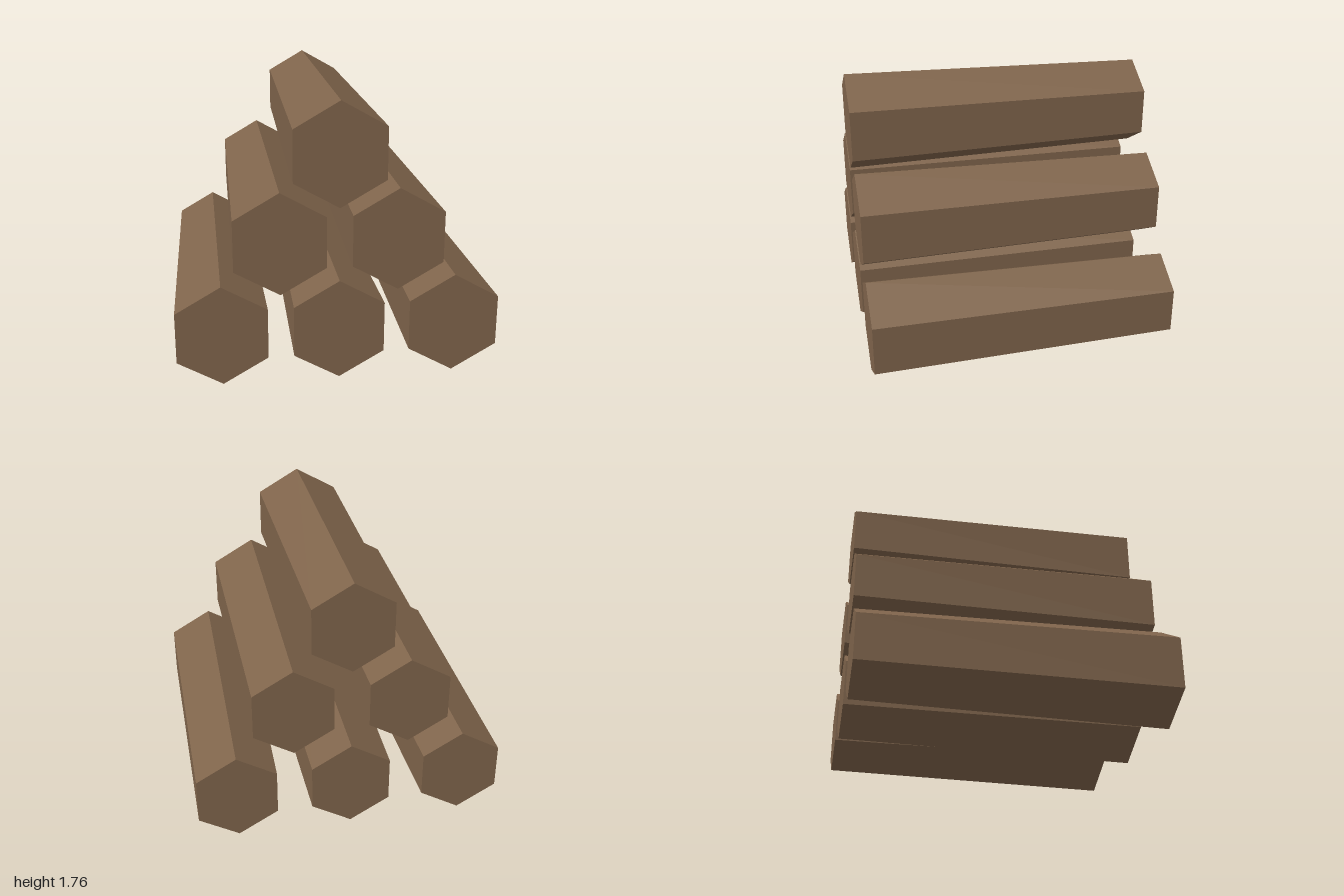
import * as THREE from 'three';

export function createModel() {
  const group = new THREE.Group();
  group.name = 'logPile';

  const wood = new THREE.MeshStandardMaterial({ color: 0x7f644b, flatShading: true });
  wood.name = 'brown wood';

  // Tapered six-sided log lying along z, thick end to the front
  const logGeometry = new THREE.CylinderGeometry(0.324, 0.288, 1.943, 6);
  logGeometry.rotateX(Math.PI / 2);

  // Three rows stacked as a pyramid
  const spacing = 0.72;
  const rows = [
    { name: 'bottomLog', count: 3, y: 0.324 },
    { name: 'middleLog', count: 2, y: 0.9 },
    { name: 'topLog', count: 1, y: 1.439 },
  ];
  for (const { name, count, y } of rows) {
    for (let i = 0; i < count; i++) {
      const log = new THREE.Mesh(logGeometry, wood);
      log.name = count > 1 ? `${name}${i + 1}` : name;
      log.position.set((i - (count - 1) / 2) * spacing, y, 0);
      group.add(log);
    }
  }
  return group;
}
